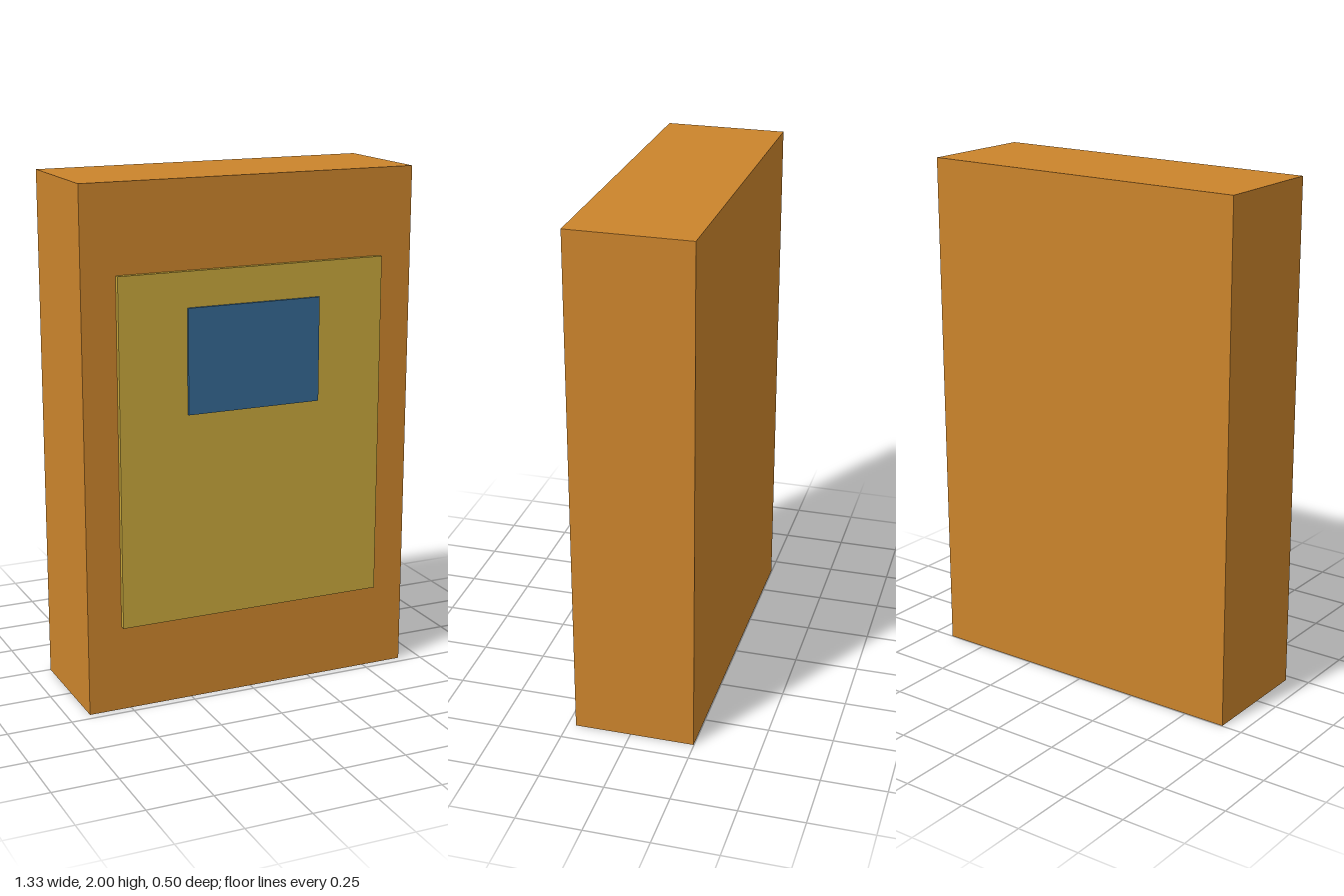
import * as THREE from 'three';

const paint = (name, color) => {
  const material = new THREE.MeshStandardMaterial({ color });
  material.name = name;
  return material;
};

// A named box given by its width, its height range and its depth range
function block(name, material, width, [y0, y1], [z0, z1]) {
  const mesh = new THREE.Mesh(new THREE.BoxGeometry(width, y1 - y0, z1 - z0), material);
  mesh.position.set(0, (y0 + y1) / 2, (z0 + z1) / 2);
  mesh.name = name;
  return mesh;
}

export function createModel() {
  const orange = paint('orange', 0xcb842c);
  const yellow = paint('mustard yellow', 0xc6a63b);
  const blue = paint('blue', 0x356892);

  const model = new THREE.Group();
  model.name = 'panelledCabinet';
  model.add(
    // Main upright slab
    block('body', orange, 1.333, [0, 2], [-0.248, 0.218]),
    // Raised panel on the front
    block('frontPanel', yellow, 1.067, [0.333, 1.667], [0.218, 0.238]),
    // Small window standing proud of the panel
    block('window', blue, 0.533, [1.133, 1.533], [0.238, 0.248]),
  );
  return model;
}
